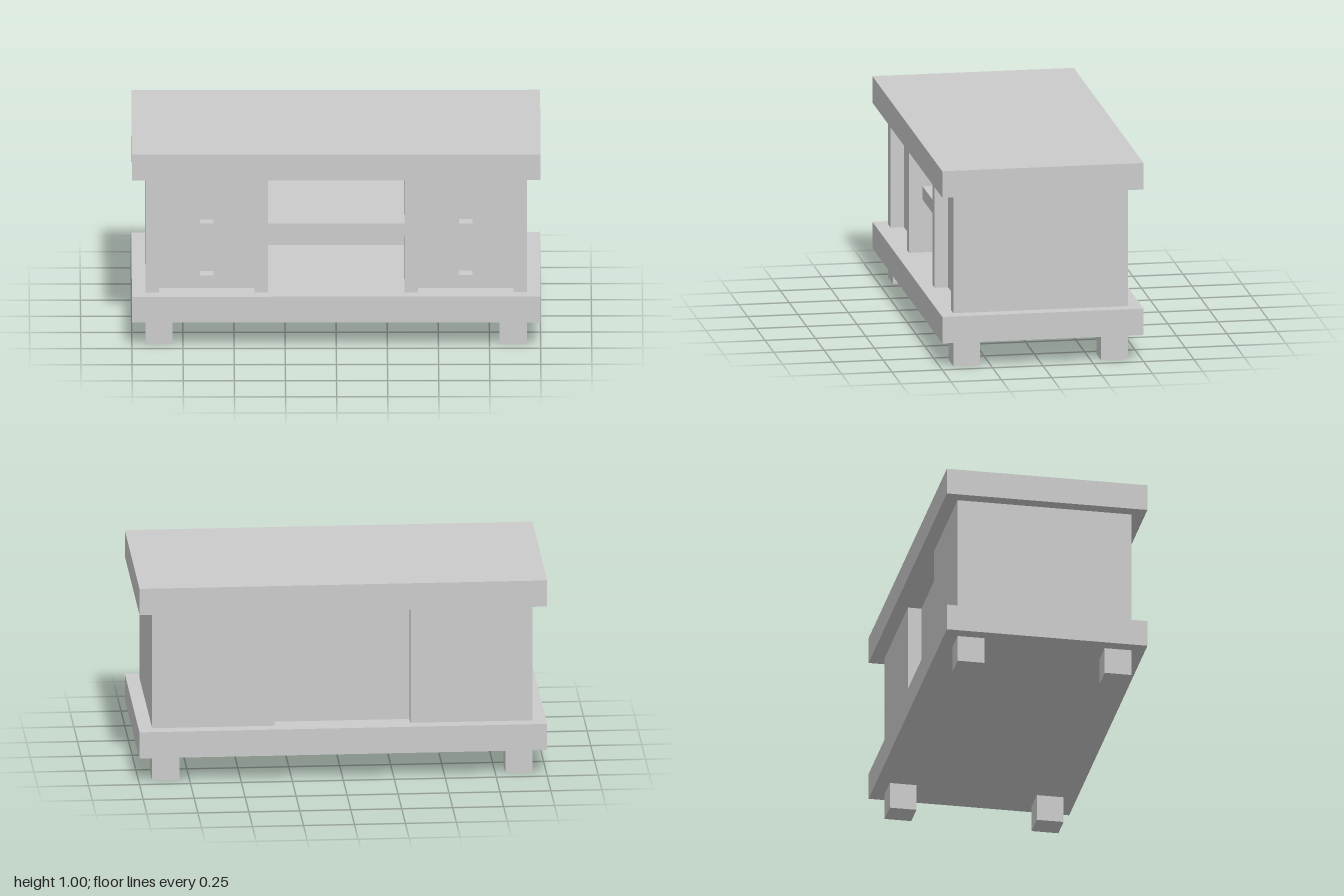
import * as THREE from 'three';

const U = 1 / 15; // all parts sit on a grid of 1/15 unit
const material = new THREE.MeshStandardMaterial({ color: 0xcccccc, flatShading: true });

// Box given by its minimum and maximum corners in grid units
function box(parent, name, [x0, y0, z0], [x1, y1, z1]) {
  const geometry = new THREE.BoxGeometry((x1 - x0) * U, (y1 - y0) * U, (z1 - z0) * U);
  const mesh = new THREE.Mesh(geometry, material);
  mesh.name = name;
  mesh.position.set((x0 + x1) / 2 * U, (y0 + y1) / 2 * U, (z0 + z1) / 2 * U);
  parent.add(mesh);
}

function rectangle(PathType, x0, y0, x1, y1) {
  return new PathType([[x0, y0], [x1, y0], [x1, y1], [x0, y1]]
    .map(([x, y]) => new THREE.Vector2(x * U, y * U)));
}

// Recessed front with two square finger holes
function cabinetFront(parent, x0, x1) {
  const shape = rectangle(THREE.Shape, x0, 4, x1, 13);
  const cx = (x0 + x1) / 2;
  for (const y of [5, 9]) {
    shape.holes.push(rectangle(THREE.Path, cx - 0.5, y, cx + 0.5, y + 1));
  }
  const geometry = new THREE.ExtrudeGeometry(shape, { depth: U, bevelEnabled: false });
  const mesh = new THREE.Mesh(geometry, material);
  mesh.name = 'cabinetFront';
  mesh.position.z = 4.5 * U;
  parent.add(mesh);
}

export function createModel() {
  const model = new THREE.Group();
  model.name = 'mediaCabinet';

  // Top and base slabs
  box(model, 'top', [-15, 13, -7.5], [15, 15, 7.5]);
  box(model, 'base', [-15, 2, -7.5], [15, 4, 7.5]);

  // Feet
  for (const x of [-14, 12]) {
    for (const z of [-6.5, 4.5]) box(model, 'foot', [x, 0, z], [x + 2, 2, z + 2]);
  }

  // Side cabinets: two upright panels around a recessed front
  for (const [name, x] of [['rightCabinet', -14], ['leftCabinet', 5]]) {
    const cabinet = new THREE.Group();
    cabinet.name = name;
    for (const px of [x, x + 8]) box(cabinet, 'uprightPanel', [px, 4, -6.5], [px + 1, 13, 6.5]);
    box(cabinet, 'cabinetBody', [x + 1, 4, -6.5], [x + 8, 13, 4.5]);
    cabinetFront(cabinet, x + 1, x + 8);
    model.add(cabinet);
  }

  // Open middle bay
  box(model, 'backPanel', [-5, 4, -5.5], [5, 13, -4.5]);
  box(model, 'shelf', [-5, 8, -4.5], [5, 9, 5.5]);

  return model;
}
